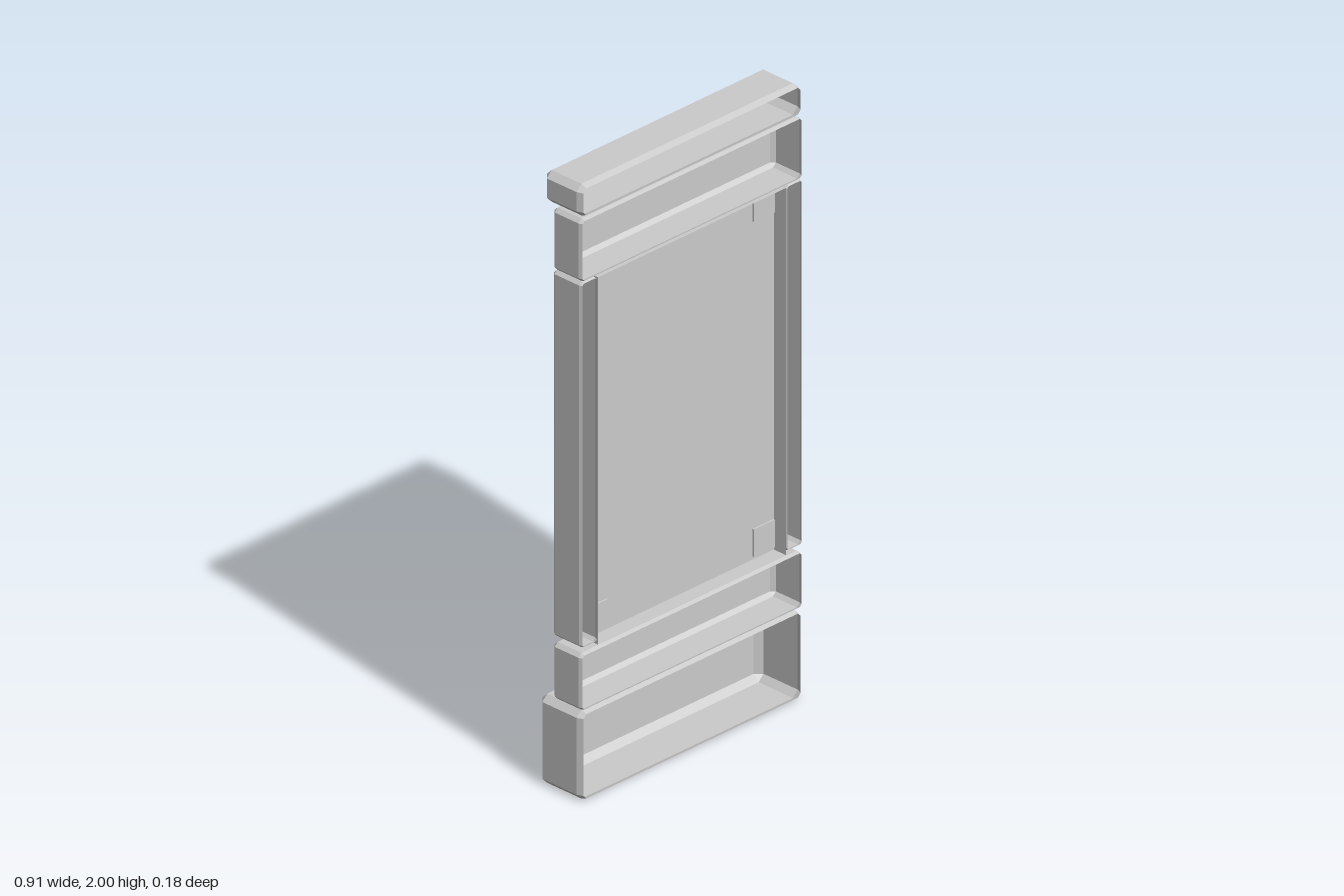
import * as THREE from 'three';

const FRONT = 0.09;
const material = new THREE.MeshStandardMaterial({ color: 0xcccccc, flatShading: true, side: THREE.DoubleSide });

// Rectangle with cut corners, counter-clockwise as seen from the front
function outline(hw, hh, cut, z) {
  return [
    [-hw + cut, -hh, z], [hw - cut, -hh, z], [hw, -hh + cut, z], [hw, hh - cut, z],
    [hw - cut, hh, z], [-hw + cut, hh, z], [-hw, hh - cut, z], [-hw, -hh + cut, z],
  ];
}

// Hollow bevelled box: closed at the back, open at the front
function shellGeometry(w, h, back, bevel, front = FRONT) {
  const rim = bevel * 0.4;
  const rings = [
    outline(w / 2 - rim, h / 2 - rim, bevel - rim, front),
    outline(w / 2, h / 2, bevel, front - bevel),
    outline(w / 2, h / 2, bevel, back + bevel),
    outline(w / 2 - bevel, h / 2 - bevel, 0, back),
  ];
  const pos = [];
  for (let r = 0; r < rings.length - 1; r++) {
    for (let j = 0; j < 8; j++) {
      const k = (j + 1) % 8;
      const a = rings[r][j], b = rings[r][k], c = rings[r + 1][k], d = rings[r + 1][j];
      pos.push(...a, ...d, ...c, ...a, ...c, ...b);
    }
  }
  const cap = rings[3];
  for (let j = 1; j < 7; j++) pos.push(...cap[0], ...cap[j + 1], ...cap[j]);
  const geometry = new THREE.BufferGeometry();
  geometry.setAttribute('position', new THREE.Float32BufferAttribute(pos, 3));
  geometry.computeVertexNormals();
  return geometry;
}

export function createModel() {
  const group = new THREE.Group();
  const add = (name, geometry, x, y, z = 0) => {
    const mesh = new THREE.Mesh(geometry, material);
    mesh.name = name;
    mesh.position.set(x, y, z);
    group.add(mesh);
  };

  // Stacked horizontal members: name, bottom, top, back depth, bevel
  const members = [
    ['base', 0, 0.29, -0.088, 0.02],
    ['lowerRail', 0.295, 0.48, -0.03, 0.012],
    ['upperRail', 1.69, 1.893, -0.03, 0.012],
    ['cornice', 1.897, 2, -0.07, 0.02],
  ];
  for (const [name, y0, y1, back, bevel] of members) {
    add(name, shellGeometry(0.905, y1 - y0, back, bevel), 0, (y0 + y1) / 2);
  }

  // Vertical stiles
  for (const side of [-1, 1]) {
    add(side > 0 ? 'leftStile' : 'rightStile', shellGeometry(0.067, 1.19, -0.03, 0.01), side * 0.419, 1.095);
  }

  // Recessed centre panel with a flange running forward around it
  const pw = 0.77, y0 = 0.49, y1 = 1.685, panelZ = 0.04;
  const ph = y1 - y0, pc = (y0 + y1) / 2, depth = FRONT - panelZ;
  add('panel', new THREE.PlaneGeometry(pw, ph), 0, pc, panelZ);
  for (const side of [-1, 1]) {
    add('panelEdge', new THREE.PlaneGeometry(pw, depth).rotateX(-side * Math.PI / 2),
      0, pc + side * ph / 2, panelZ + depth / 2);
    add('panelSide', new THREE.PlaneGeometry(depth, ph).rotateY(side * Math.PI / 2),
      side * pw / 2, pc, panelZ + depth / 2);
    // Small square plates in the panel corners
    for (const y of [0.545, 1.635]) {
      add('cornerPlate', new THREE.BoxGeometry(0.085, 0.09, 0.012), side * 0.341, y, panelZ);
    }
  }
  return group;
}
